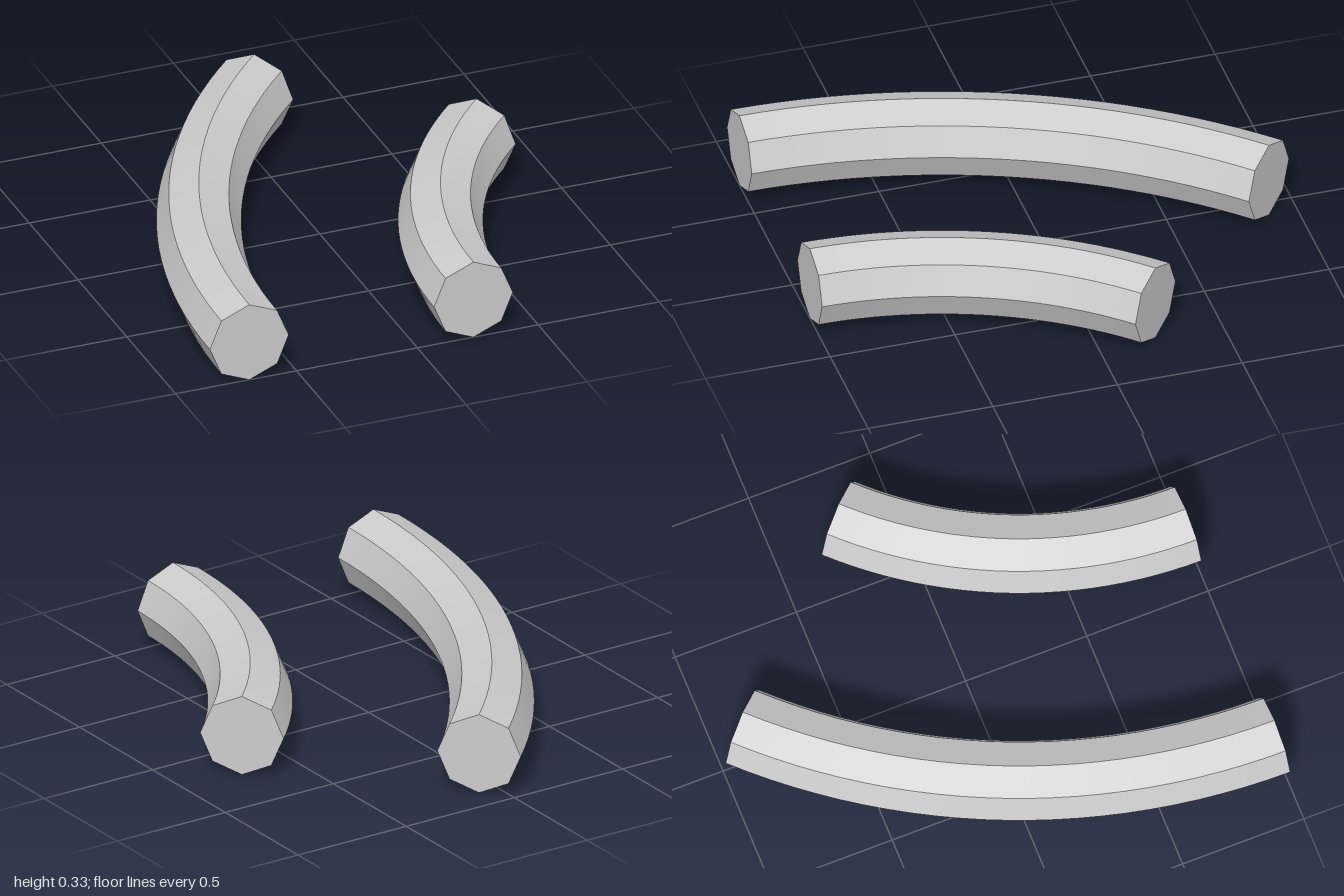
import * as THREE from 'three';
import { mergeGeometries, toCreasedNormals } from 'three/addons/utils/BufferGeometryUtils.js';

const TUBE = 0.163;        // octagon radius
const SWEEP = Math.PI / 4; // each bar bends through 45 degrees
const FRONT = 1;           // z of the front ends

// Octagonal bar starting at x on the front plane, curving back towards +x
function curvedBar(name, x, bend, material) {
  const body = new THREE.TorusGeometry(bend, TUBE, 8, 24, SWEEP);
  body.rotateX(-Math.PI / 2).rotateZ(Math.PI).translate(x + bend, TUBE, FRONT);

  // Flat end caps
  const frontCap = new THREE.CircleGeometry(TUBE, 8);
  frontCap.translate(x, TUBE, FRONT);
  const backCap = new THREE.CircleGeometry(TUBE, 8);
  backCap.rotateY(Math.PI - SWEEP).translate(
    x + bend * (1 - Math.cos(SWEEP)), TUBE, FRONT - bend * Math.sin(SWEEP));

  // Sharp along the eight edges, smooth along the bend
  const geometry = toCreasedNormals(mergeGeometries([body, frontCap, backCap]), Math.PI / 6);
  const mesh = new THREE.Mesh(geometry, material);
  mesh.name = name;
  return mesh;
}

export function createModel() {
  const model = new THREE.Group();
  model.name = 'curvedBars';
  const material = new THREE.MeshStandardMaterial({ color: 0xcccccc });
  model.add(
    curvedBar('longCurvedBar', -0.695, 2.666, material),
    curvedBar('shortCurvedBar', 0.232, 1.74, material));
  return model;
}
